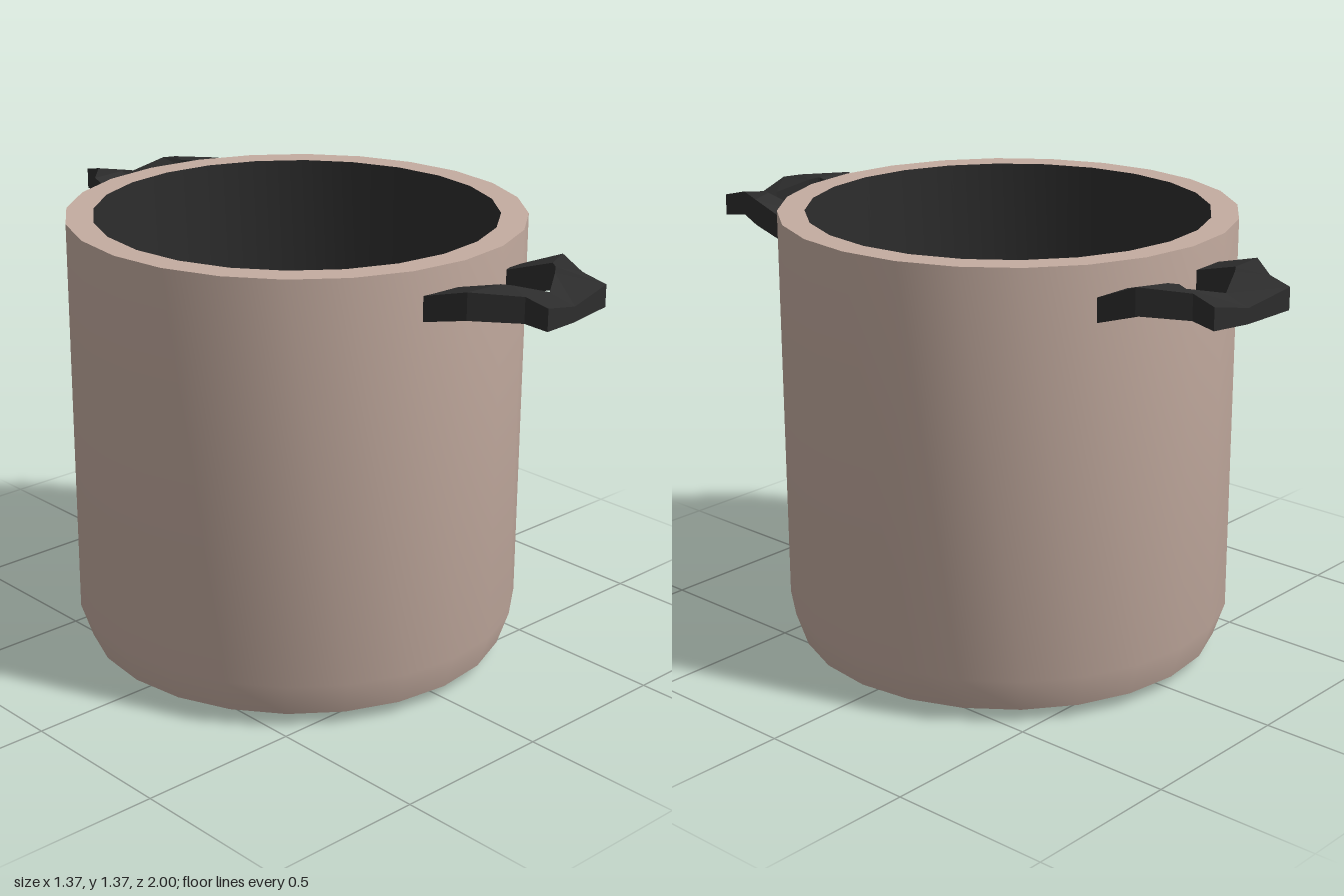
import * as THREE from 'three';
import { toCreasedNormals } from 'three/addons/utils/BufferGeometryUtils.js';

const SIDES = 24;

// Revolved surface with sharp edges kept at strong profile corners
function lathe(profile) {
  const points = profile.map(([r, y]) => new THREE.Vector2(r, y));
  return toCreasedNormals(new THREE.LatheGeometry(points, SIDES), 0.6);
}

// Cross-sections along the handle: outer x, z, top y, inner x, z, top y, thickness
const HANDLE = [
  [-0.15, 0.605, 1.272, -0.03, 0.605, 1.272, 0.072],
  [-0.127, 0.81, 1.33, -0.01, 0.82, 1.33, 0.08],
  [-0.025, 0.925, 1.322, -0.005, 0.825, 1.33, 0.075],
  [-0.015, 0.998, 1.305, 0.02, 0.84, 1.325, 0.065],
  [0.13, 0.968, 1.272, 0.12, 0.885, 1.295, 0.045],
  [0.27, 0.958, 1.302, 0.215, 0.82, 1.315, 0.065],
  [0.26, 0.88, 1.322, 0.228, 0.81, 1.328, 0.075],
  [0.333, 0.746, 1.33, 0.245, 0.785, 1.33, 0.08],
  [0.32, 0.605, 1.272, 0.2, 0.605, 1.272, 0.072],
];

// Faceted handle lofted through its cross-sections; side = 1 front, -1 back
function handleGeometry(side) {
  const positions = [];
  const index = [];
  const quad = (a, b, c, d) => {
    if (side > 0) index.push(a, b, c, a, c, d);
    else index.push(a, c, b, a, d, c);
  };
  for (const [ox, oz, oy, ix, iz, iy, t] of HANDLE) {
    positions.push(
      ox, oy, oz * side,
      ix, iy, iz * side,
      ix, iy - t, iz * side,
      ox, oy - t, oz * side,
    );
  }
  const last = HANDLE.length - 1;
  for (let i = 0; i < last; i++) {
    for (let k = 0; k < 4; k++) {
      const n = (k + 1) % 4;
      quad(i * 4 + k, i * 4 + 4 + k, i * 4 + 4 + n, i * 4 + n);
    }
  }
  // End caps
  quad(0, 1, 2, 3);
  quad(last * 4 + 3, last * 4 + 2, last * 4 + 1, last * 4);

  const indexed = new THREE.BufferGeometry();
  indexed.setAttribute('position', new THREE.Float32BufferAttribute(positions, 3));
  indexed.setIndex(index);
  const geometry = indexed.toNonIndexed();
  geometry.computeVertexNormals();
  return geometry;
}

export function createModel() {
  const clay = new THREE.MeshStandardMaterial({ color: 0xc4aca0 });
  clay.name = 'warm beige';
  const black = new THREE.MeshStandardMaterial({ color: 0x2d2d2d });
  black.name = 'charcoal';

  const model = new THREE.Group();
  model.name = 'cookingPot';
  const add = (name, geometry, material) => {
    const mesh = new THREE.Mesh(geometry, material);
    mesh.name = name;
    model.add(mesh);
  };

  // Outer wall with bevelled base and flat rim
  add('potBody', lathe([
    [0, 0], [0.56, 0], [0.648, 0.04], [0.683, 0.145], [0.683, 1.365], [0.602, 1.365],
  ]), clay);

  // Dark inside wall and floor
  add('potInterior', lathe([[0.602, 1.365], [0.602, 0.08], [0, 0.08]]), black);

  // Matching handles at front and back
  add('frontHandle', handleGeometry(1), black);
  add('backHandle', handleGeometry(-1), black);

  return model;
}
